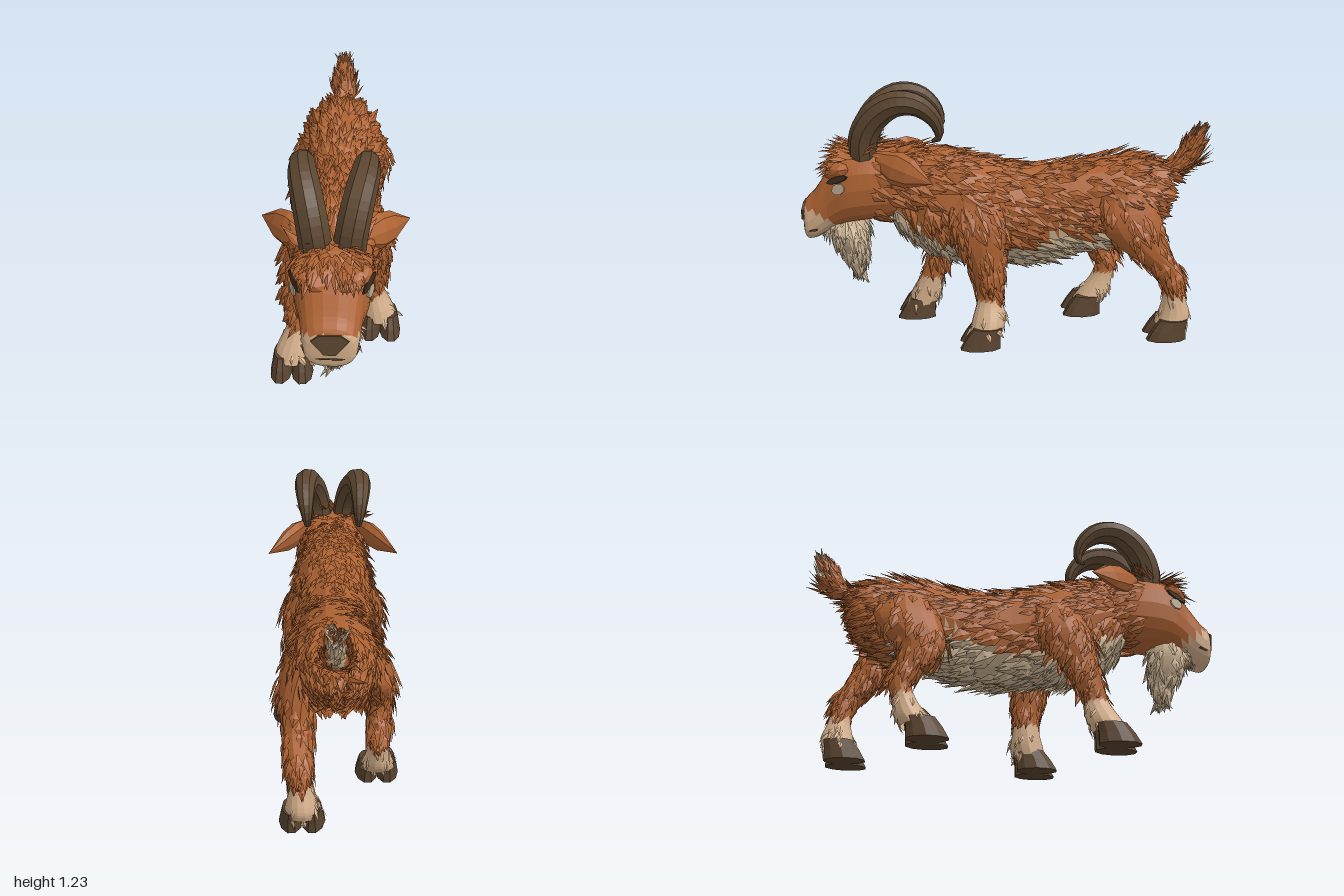
import * as THREE from 'three';

const V = (x, y, z) => new THREE.Vector3(x, y, z);
const paint = (name, color, side = THREE.FrontSide) => Object.assign(new THREE.MeshStandardMaterial({ color, side }), { name });

export function createModel() {
  const goat = new THREE.Group();
  goat.name = 'goat';
  const brown = paint('brown fur', 0xad6232, THREE.DoubleSide);
  const face = paint('face brown', 0xae6333);
  const cream = paint('cream fur', 0xc8b090, THREE.DoubleSide);
  const sock = paint('sock cream', 0xd3ae8a, THREE.DoubleSide);
  const horn = paint('horn brown', 0x5c4630);
  const hoofMat = paint('hoof brown', 0x58422e);
  const dark = paint('dark line', 0x3a291b);
  const eyeMat = paint('eye grey', 0xb9a98f);

  let seed = 7;
  const rnd = (a = 0, b = 1) => {
    seed = (seed * 16807) % 2147483647;
    return a + (b - a) * seed / 2147483647;
  };

  const add = (name, geo, mat, parent = goat) => {
    const m = new THREE.Mesh(geo, mat);
    m.name = name;
    parent.add(m);
    return m;
  };
  const faceted = g => {
    const f = g.index ? g.toNonIndexed() : g;
    f.computeVertexNormals();
    return f;
  };

  // Triangles collected by material, then turned into one mesh per colour
  const tri = (b, mat, ...pts) => {
    if (!b.has(mat)) b.set(mat, []);
    pts.forEach(p => b.get(mat).push(p.x, p.y, p.z));
  };
  const flush = (b, name) => {
    const g = new THREE.Group();
    g.name = name;
    b.forEach((list, mat) => {
      const geo = new THREE.BufferGeometry();
      geo.setAttribute('position', new THREE.Float32BufferAttribute(list, 3));
      geo.computeVertexNormals();
      add(name + ' ' + mat.name, geo, mat, g);
    });
    goat.add(g);
  };

  // Smooth loft through sections [x, y, z, radiusA, radiusB]; rings face z or y
  const loft = (sections, axis, pow = 1) => {
    const mid = new THREE.CatmullRomCurve3(sections.map(s => V(s[0], s[1], s[2])), false, 'catmullrom');
    const rad = new THREE.CatmullRomCurve3(sections.map(s => V(s[3], s[4], 0)), false, 'catmullrom');
    const bend = c => Math.sign(c) * Math.abs(c) ** pow;
    const at = (u, t) => {
      const r = rad.getPoint(u), a = r.x * bend(Math.cos(t)), b = r.y * bend(Math.sin(t));
      return mid.getPoint(u).add(axis === 'z' ? V(a, b, 0) : V(a, 0, b));
    };
    const normal = (u, t) => {
      const u0 = Math.max(u - 0.01, 0), u1 = Math.min(u + 0.01, 1);
      const du = at(u1, t).sub(at(u0, t));
      return at(u, t + 0.05).sub(at(u, t - 0.05)).cross(du).normalize();
    };
    return { at, normal };
  };
  const skin = (b, { at }, nu, nt, colour) => {
    for (let i = 0; i < nu; i++) for (let j = 0; j < nt; j++) {
      const p = (x, y) => at(x / nu, y / nt * Math.PI * 2);
      const q = [p(i, j), p(i, j + 1), p(i + 1, j + 1), p(i + 1, j)];
      for (const t of [[0, 1, 2], [0, 2, 3]]) {
        const c = V(0, 0, 0);
        t.forEach(k => c.addScaledVector(q[k], 1 / 3));
        tri(b, colour(c), ...t.map(k => q[k]));
      }
    }
  };

  // One leaf-shaped, ridged lock of fur
  const tuft = (b, mat, root, n, flow, len, wid, lift) => {
    const d = flow.clone().addScaledVector(n, -flow.dot(n)).normalize().addScaledVector(n, lift).normalize();
    const s = V(0, 0, 0).crossVectors(d, n).normalize();
    const mid = root.clone().addScaledVector(d, len * 0.4);
    const R = mid.clone().addScaledVector(s, wid), L = mid.clone().addScaledVector(s, -wid);
    const top = mid.clone().addScaledVector(n, wid * 0.35), tip = root.clone().addScaledVector(d, len);
    tri(b, mat, root, R, top, R, tip, top, tip, L, top, L, root, top);
  };
  const furry = (name, sections, axis, count, flow, colour, len, wid, lift) => {
    const b = new Map(), surf = loft(sections, axis);
    skin(b, surf, sections.length * 4, 14, colour);
    for (let i = 0; i < count; i++) {
      const u = rnd(0.01, 0.97), t = rnd(0, Math.PI * 2), p = surf.at(u, t), n = surf.normal(u, t);
      const f = flow(p).add(V(rnd(-0.25, 0.25), rnd(-0.25, 0.25), rnd(-0.25, 0.25)));
      // short, sparse fur on the lower legs
      const low = p.y < 0.31;
      if (low && rnd() < (p.y < 0.24 ? 0.75 : 0.4)) continue;
      const k = low ? 0.6 : 1;
      tuft(b, colour(p), p, n, f, len * k * rnd(0.7, 1.25), wid * k * rnd(0.75, 1.2), lift * rnd(0.5, 1.3));
    }
    flush(b, name);
  };

  // Trunk and neck, with pale belly and chest
  const under = p => {
    if (p.z < -0.48) return brown;
    const edge = p.z < 0.08 ? 0.49 - 0.25 * p.z : 0.43 + 0.42 * p.z;
    return p.y < edge ? cream : brown;
  };
  furry('body', [
    [0, 0.74, -0.76, 0.01, 0.01], [0, 0.71, -0.71, 0.14, 0.13], [0, 0.68, -0.58, 0.19, 0.2],
    [0, 0.65, -0.4, 0.185, 0.215], [0, 0.605, -0.2, 0.18, 0.23], [0, 0.605, 0, 0.185, 0.24],
    [0, 0.645, 0.2, 0.2, 0.245], [0, 0.67, 0.35, 0.185, 0.245], [0, 0.715, 0.48, 0.16, 0.21], [0, 0.77, 0.6, 0.13, 0.14],
  ], 'z', 1300, p => p.z > 0.2 && p.y < 0.7 ? V(0, -1, -0.5) : V(0, -0.4, -1), under, 0.12, 0.027, 0.27);

  // Legs in stride: sections from the shoulder or hip down, and hoof centre
  const legs = {
    leftFrontLeg: [[[0.13, 0.72, 0.16, 0.08, 0.12], [0.17, 0.58, 0.15, 0.085, 0.14], [0.18, 0.42, 0.12, 0.07, 0.09],
      [0.18, 0.3, 0.1, 0.058, 0.068], [0.18, 0.22, 0.095, 0.056, 0.062], [0.2, 0.13, 0.1, 0.078, 0.08], [0.215, 0.07, 0.115, 0.09, 0.08]], 0.215, 0.145],
    rightFrontLeg: [[[-0.13, 0.72, 0.2, 0.08, 0.12], [-0.17, 0.58, 0.24, 0.085, 0.13], [-0.18, 0.42, 0.31, 0.07, 0.085],
      [-0.18, 0.3, 0.355, 0.058, 0.063], [-0.18, 0.22, 0.38, 0.056, 0.062], [-0.2, 0.13, 0.41, 0.078, 0.08], [-0.21, 0.07, 0.435, 0.09, 0.08]], -0.21, 0.465],
    leftHindLeg: [[[0.12, 0.74, -0.55, 0.09, 0.14], [0.16, 0.6, -0.57, 0.09, 0.16], [0.17, 0.47, -0.64, 0.075, 0.12],
      [0.165, 0.36, -0.75, 0.055, 0.075], [0.16, 0.28, -0.79, 0.05, 0.055], [0.155, 0.2, -0.805, 0.052, 0.056],
      [0.15, 0.12, -0.81, 0.07, 0.078], [0.15, 0.07, -0.795, 0.085, 0.08]], 0.15, -0.765],
    rightHindLeg: [[[-0.12, 0.74, -0.52, 0.09, 0.14], [-0.17, 0.6, -0.5, 0.09, 0.16], [-0.19, 0.46, -0.43, 0.075, 0.11],
      [-0.2, 0.36, -0.48, 0.055, 0.07], [-0.2, 0.28, -0.52, 0.05, 0.055], [-0.2, 0.2, -0.5, 0.052, 0.056],
      [-0.2, 0.12, -0.465, 0.07, 0.078], [-0.2, 0.07, -0.43, 0.085, 0.08]], -0.2, -0.39],
  };
  for (const [name, [sections, hx, hz]] of Object.entries(legs)) {
    furry(name, sections, 'y', 240, () => V(0, -1, -0.3), p => p.y < 0.225 ? sock : brown, 0.1, 0.023, 0.2);
    // Cloven hoof: two toes, tops drawn back
    for (const s of [-1, 1]) {
      const geo = new THREE.CylinderGeometry(0.038, 0.054, 0.1, 10, 2).rotateY(Math.PI / 10).scale(1, 1, 1.85).translate(0, 0.05, 0);
      const pos = geo.attributes.position;
      for (let i = 0; i < pos.count; i++) pos.setZ(i, pos.getZ(i) - 0.45 * Math.max(pos.getY(i) - 0.02, 0));
      const toe = add(name + ' hoof toe', faceted(geo), hoofMat);
      toe.position.set(hx + s * 0.05, 0, hz);
      toe.rotation.y = s * 0.06;
    }
  }

  // Upright bushy tail with pale back edge
  furry('tail', [
    [0, 0.96, -0.9, 0.01, 0.01], [0, 0.92, -0.892, 0.035, 0.04], [0, 0.86, -0.87, 0.05, 0.055],
    [0, 0.81, -0.81, 0.055, 0.065], [0, 0.78, -0.7, 0.055, 0.06],
  ], 'y', 160, p => p.y < 0.81 ? V(p.x * 2, -0.4, -1) : V(p.x * 2, 0.8, -0.5), p => p.z < -0.912 ? cream : brown, 0.105, 0.02, 0.33);

  // Head with pale muzzle
  const head = loft([
    [0, 0.78, 0.42, 0.12, 0.13], [0, 0.77, 0.55, 0.165, 0.165], [0, 0.765, 0.68, 0.175, 0.18], [0, 0.745, 0.78, 0.165, 0.175],
    [0, 0.685, 0.86, 0.135, 0.15], [0, 0.615, 0.93, 0.12, 0.118], [0, 0.595, 0.975, 0.1, 0.09], [0, 0.605, 0.99, 0.01, 0.01],
  ], 'z', 0.8);
  const hb = new Map();
  skin(hb, head, 28, 18, p => p.z > 0.83 && p.y < 0.59 + (p.z - 0.83) * 0.55 ? sock : face);
  flush(hb, 'head');

  // Nose and mouth
  const noseShape = new THREE.Shape([[-0.025, -0.045], [0.025, -0.045], [0.078, 0.018], [0.045, 0.045], [-0.045, 0.045], [-0.078, 0.018]]
    .map(p => new THREE.Vector2(...p)));
  const nose = add('nose', faceted(new THREE.ExtrudeGeometry(noseShape, { depth: 0.036, bevelEnabled: false })), hoofMat);
  nose.position.set(0, 0.625, 0.958);
  nose.rotation.x = -0.18;
  add('mouth', new THREE.TubeGeometry(new THREE.CatmullRomCurve3(
    [V(-0.122, 0.56, 0.91), V(-0.094, 0.55, 0.964), V(0, 0.555, 0.985), V(0.094, 0.55, 0.964), V(0.122, 0.56, 0.91)]), 16, 0.005, 5), hoofMat);

  // Thin plate lying on the head surface
  const plate = (name, u, t, w, h, mat, roll, out) => {
    const n = head.normal(u, t), geo = new THREE.CylinderGeometry(1, 1, 0.008, 8).rotateX(Math.PI / 2).scale(w, h, 1).rotateZ(roll);
    const m = add(name, faceted(geo), mat);
    m.position.copy(head.at(u, t)).addScaledVector(n, out);
    m.quaternion.setFromUnitVectors(V(0, 0, 1), n);
  };
  for (const s of [-1, 1]) {
    const side = s > 0 ? 'left ' : 'right ';
    const turn = t => s > 0 ? t : Math.PI - t;
    plate(side + 'eye', 0.46, turn(0.13), 0.034, 0.027, eyeMat, s * 0.4, 0.003);
    plate(side + 'eyelid', 0.465, turn(0.38), 0.06, 0.016, dark, s * 0.5, 0.006);

    // Heavy frowning brow
    const brow = add(side + 'brow', faceted(new THREE.IcosahedronGeometry(1, 1).scale(0.095, 0.045, 0.06)), face);
    brow.position.set(s * 0.085, 0.835, 0.808);
    brow.rotation.set(0, s * 0.5, s * 0.28);

    // Broad leaf-shaped ear sweeping out and back
    const ear = add(side + 'ear', faceted(new THREE.LatheGeometry(
      [[0.001, -0.18], [0.045, -0.15], [0.08, -0.04], [0.07, 0.04], [0.001, 0.18]].map(p => new THREE.Vector2(...p)), 8).scale(1, 1, 0.5)), face);
    const dir = V(s * 0.62, -0.2, -0.77).normalize();
    const thin = V(s * 0.5, 0.75, 0.3).addScaledVector(dir, -V(s * 0.5, 0.75, 0.3).dot(dir)).normalize();
    ear.quaternion.setFromRotationMatrix(new THREE.Matrix4().makeBasis(V(0, 0, 0).crossVectors(dir, thin), dir, thin));
    ear.rotateY(s * 0.6);
    ear.position.set(s * 0.22, 0.866, 0.492);

    // Stout tapered horn leaning out and curling back
    const path = new THREE.CatmullRomCurve3([[0.068, 0.89, 0.685], [0.082, 1.0, 0.68], [0.105, 1.1, 0.625], [0.13, 1.163, 0.53],
      [0.138, 1.158, 0.43], [0.136, 1.1, 0.355], [0.132, 1.04, 0.328], [0.13, 1.0, 0.33], [0.127, 0.985, 0.36]].map(p => V(s * p[0], p[1], p[2])));
    const geo = new THREE.TubeGeometry(path, 22, 1, 9), pos = geo.attributes.position, p = V(0, 0, 0);
    for (let i = 0; i < pos.count; i++) {
      const f = Math.floor(i / 10) / 22, c = path.getPointAt(f);
      p.fromBufferAttribute(pos, i).sub(c).multiplyScalar(0.008 + 0.063 * (1 - f ** 3)).add(c);
      pos.setXYZ(i, p.x, p.y, p.z);
    }
    add(side + 'horn', faceted(geo), horn);
  }

  // Forelock standing over the brow, and ruff behind the cheeks
  const hair = new Map();
  for (let i = 0; i < 120; i++) {
    const u = rnd(0.27, 0.5), t = Math.PI / 2 + rnd(-0.75, 0.75), p = head.at(u, t);
    const flow = V(p.x * 3, -0.3, u < 0.33 ? -1 : 1);
    tuft(hair, brown, p, head.normal(u, t), flow, rnd(0.08, 0.14), 0.02, u > 0.44 ? rnd(0.1, 0.5) : rnd(0.3, 1.1));
  }
  for (let i = 0; i < 120; i++) {
    const u = rnd(0.02, 0.26), t = rnd(0, Math.PI * 2);
    tuft(hair, brown, head.at(u, t), head.normal(u, t), V(0, -0.5, -1), rnd(0.08, 0.13), 0.025, 0.25);
  }
  flush(hair, 'forelock and ruff');

  // Beard growing from under the jaw
  furry('beard', [
    [0, 0.63, 0.79, 0.07, 0.08], [0, 0.55, 0.78, 0.1, 0.095], [0, 0.48, 0.77, 0.095, 0.08], [0, 0.42, 0.755, 0.07, 0.06],
    [0, 0.36, 0.74, 0.04, 0.035], [0, 0.33, 0.735, 0.006, 0.006],
  ], 'y', 150, () => V(0, -1, -0.08), () => cream, 0.1, 0.021, 0.22);

  return goat;
}
